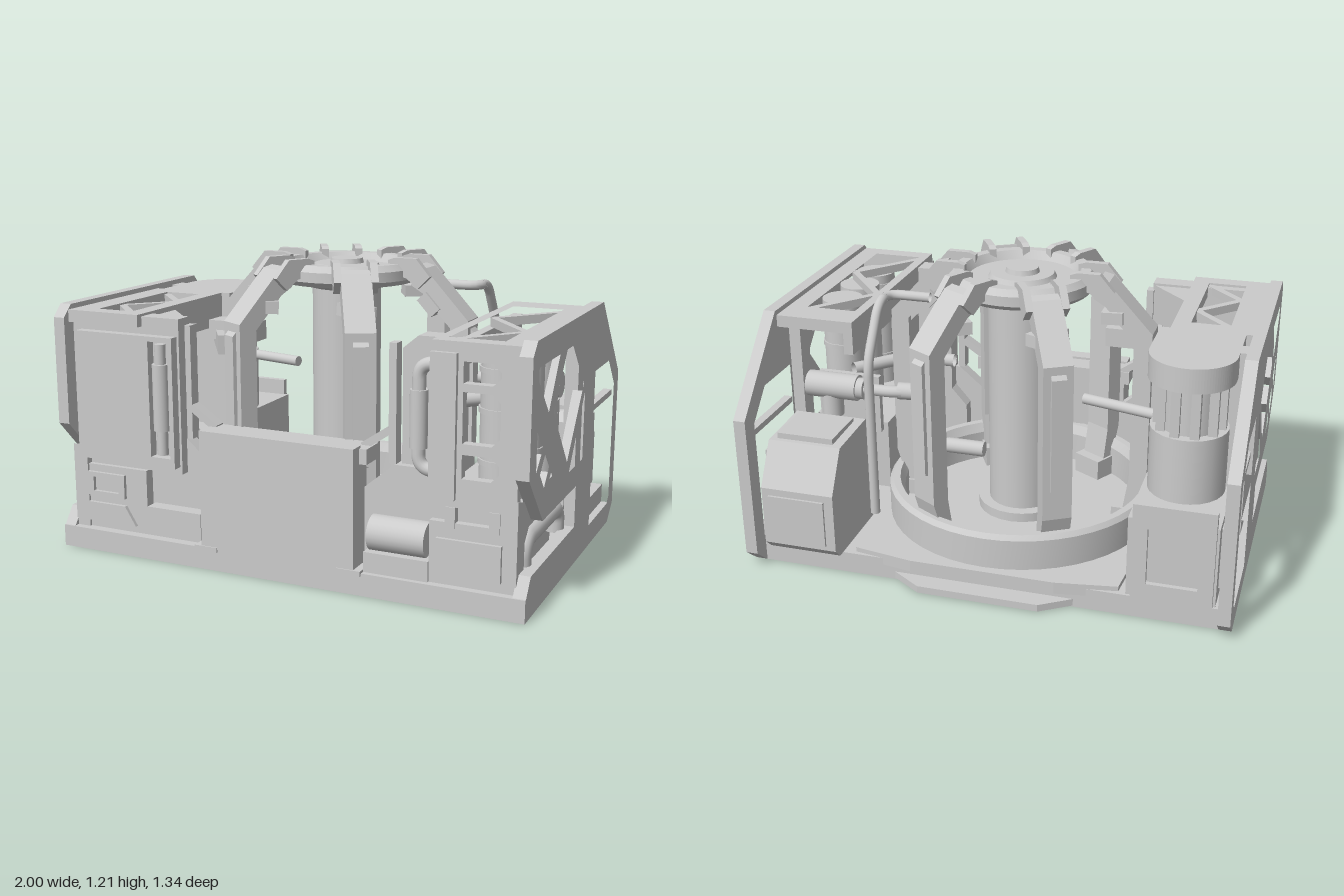
import * as THREE from 'three';
import { toCreasedNormals } from 'three/addons/utils/BufferGeometryUtils.js';

const grey = new THREE.MeshStandardMaterial({ color: 0xcccccc });
const thin = new THREE.MeshStandardMaterial({ color: 0xcccccc, side: THREE.DoubleSide });
const V = (p) => new THREE.Vector3(...p);

export function createModel() {
  const model = new THREE.Group();
  let target = model;
  const add = (name, geo, mat = grey) => {
    const m = new THREE.Mesh(geo, mat);
    m.name = name;
    target.add(m);
    return m;
  };
  const section = (name, build) => {
    target = new THREE.Group();
    target.name = name;
    model.add(target);
    build(target);
    target = model;
  };
  // box given by its ranges
  const box = (name, x0, x1, y0, y1, z0, z1) => add(name,
    new THREE.BoxGeometry(Math.abs(x1 - x0), y1 - y0, z1 - z0)
      .translate((x0 + x1) / 2, (y0 + y1) / 2, (z0 + z1) / 2));
  const outline = (pts, holes = []) => {
    const s = new THREE.Shape(pts.map((p) => new THREE.Vector2(...p)));
    s.holes = holes.map((h) => new THREE.Path(h.map((p) => new THREE.Vector2(...p))));
    return s;
  };
  const extrude = (shape, depth) => new THREE.ExtrudeGeometry(shape, { depth, bevelEnabled: false, curveSegments: 24 });
  const flip = (pts) => pts.map(([a, b]) => [-a, b]);
  const flop = (pts) => pts.map(([a, b]) => [a, -b]);
  // plates lying in the side (z, y), front (x, y) and top (x, z) planes
  const sidePlate = (name, pts, xa, xb, holes = []) => add(name,
    extrude(outline(flip(pts), holes.map(flip)), Math.abs(xb - xa)).rotateY(Math.PI / 2).translate(Math.min(xa, xb), 0, 0));
  const frontPlate = (name, pts, z0, z1, holes = []) => add(name, extrude(outline(pts, holes), z1 - z0).translate(0, 0, z0));
  const topPlate = (name, pts, y0, y1, holes = []) => add(name,
    extrude(outline(flop(pts), holes.map(flop)), y1 - y0).rotateX(-Math.PI / 2).translate(0, y0, 0));
  const rect = (a0, a1, b0, b1) => [[a0, b0], [a1, b0], [a1, b1], [a0, b1]];
  // straight square bar or round rod between two points
  const bar = (name, a, b, w, h) => {
    const m = add(name, new THREE.BoxGeometry(w, h, V(a).distanceTo(V(b))));
    m.position.copy(V(a).add(V(b)).multiplyScalar(0.5));
    m.lookAt(V(b));
  };
  const rod = (name, a, b, r) => {
    const m = add(name, new THREE.CylinderGeometry(r, r, V(a).distanceTo(V(b)), 24));
    m.position.copy(V(a).add(V(b)).multiplyScalar(0.5));
    m.quaternion.setFromUnitVectors(V([0, 1, 0]), V(b).sub(V(a)).normalize());
  };
  // pipe with rounded bends
  const pipe = (name, points, r, bend = 0.06) => {
    const p = points.map(V), path = new THREE.CurvePath();
    let from = p[0];
    for (let i = 1; i < p.length - 1; i++) {
      const before = p[i].clone().add(p[i - 1].clone().sub(p[i]).setLength(bend));
      const after = p[i].clone().add(p[i + 1].clone().sub(p[i]).setLength(bend));
      path.add(new THREE.LineCurve3(from, before));
      path.add(new THREE.QuadraticBezierCurve3(before, p[i], after));
      from = after;
    }
    path.add(new THREE.LineCurve3(from, p[p.length - 1]));
    add(name, new THREE.TubeGeometry(path, 60, r, 14), thin);
  };
  const lathe = (name, pts) => add(name,
    toCreasedNormals(new THREE.LatheGeometry(pts.map((p) => new THREE.Vector2(...p)), 48), 0.4), thin);

  // base slab with rear step and round basin
  section('base', () => {
    box('baseSlab', -1, 1, 0, 0.09, -0.59, 0.66);
    topPlate('rearStep', [[-0.42, -0.56], [-0.25, -0.67], [0.25, -0.67], [0.42, -0.56]], 0.005, 0.035);
    topPlate('basinLedge', [[-0.55, -0.57], [-0.3, -0.61], [0.3, -0.61], [0.55, -0.57], [0.6, 0], [-0.6, 0]], 0.06, 0.11);
    lathe('basinRing', [[0.51, 0.09], [0.51, 0.22], [0.53, 0.26], [0.56, 0.26], [0.575, 0.24], [0.575, 0.09]]);
  });

  // central column and its hub
  section('column', () => {
    rod('columnShaft', [0, 0.09, 0], [0, 1.12, 0], 0.143);
    rod('columnFoot', [0, 0.09, 0], [0, 0.15, 0], 0.19);
    lathe('hub', [[0.14, 1.07], [0.22, 1.09], [0.28, 1.1], [0.3, 1.12], [0.3, 1.16], [0.28, 1.185],
      [0.24, 1.185], [0.22, 1.15], [0.14, 1.15], [0.13, 1.17], [0.07, 1.17], [0.065, 1.19], [0, 1.19]]);
  });

  // six bent arms around the column, forked at the hub
  const leg = [[0.33, 1.18], [0.37, 1.17], [0.555, 0.97], [0.555, 0.32], [0.5, 0.13], [0.45, 0.13], [0.48, 0.32],
    [0.48, 0.94], [0.36, 1.07], [0.31, 1.1]];
  const rib = [[0.36, 1.14], [0.57, 0.92], [0.57, 0.45], [0.5, 0.42], [0.5, 0.9], [0.36, 1.04]];
  const prong = [[0.22, 1.15], [0.22, 1.2], [0.25, 1.21], [0.34, 1.21], [0.4, 1.14], [0.35, 1.09], [0.3, 1.13]];
  for (let i = 0; i < 6; i++) {
    section('arm', (g) => {
      g.rotation.y = (i * Math.PI) / 3;
      add('armLeg', extrude(outline(leg), 0.12).translate(0, 0, -0.06));
      add('armRib', extrude(outline(rib), 0.06).translate(0, 0, -0.03));
      for (const s of [-1, 1]) add('armProng', extrude(outline(prong), 0.03).translate(0, 0, s * 0.072 - 0.015));
      box('armFoot', 0.41, 0.52, 0.09, 0.18, -0.07, 0.07);
      bar('armClamp', [0.36, 1.06, 0], [0.42, 0.995, 0], 0.15, 0.05);
    });
  }

  // gate at the front with sloping wings
  section('gate', () => {
    box('gatePanel', -0.33, 0.33, 0.09, 0.57, 0.6, 0.665);
    box('gateRail', -0.36, 0.36, 0.5, 0.56, 0.5, 0.61);
    box('gateInnerPanel', -0.33, 0.33, 0.09, 0.52, 0.54, 0.6);
    for (const s of [-1, 1]) {
      frontPlate('gateWing', [[0.32, 0.09], [0.62, 0.09], [0.62, 0.5], [0.45, 0.5], [0.32, 0.39]].map(([x, y]) => [s * x, y]), 0.5, 0.56);
      box('gateHinge', s * 0.26, s * 0.36, 0.08, 0.1, 0.58, 0.67);
      bar('cageSlope', [s * 0.32, 0.555, 0.53], [s * 0.43, 0.63, 0.53], 0.05, 0.03);
      bar('cagePost', [s * 0.44, 0.5, 0.53], [s * 0.44, 0.96, 0.53], 0.03, 0.05);
    }
  });

  // shared side walls, lower lockers and roof trusses
  const wall = [[0.66, 0], [0.66, 0.08], [0.6, 0.16], [0, 0.16], [0, 0.33], [0.47, 0.33], [0.66, 0.53], [0.66, 0.97],
    [0.61, 1.02], [-0.34, 1.02], [-0.67, 0.67], [-0.67, 0.07], [-0.59, 0]];
  const trussHoles = [
    [[0.58, 0.92], [0.31, 0.92], [0.44, 0.73], [0.58, 0.87]],
    [[0.21, 0.92], [0.13, 0.92], [-0.06, 0.735], [0.155, 0.47], [0.375, 0.715]],
    [[-0.085, 0.7], [-0.085, 0.42], [0.12, 0.42]],
    [[0.58, 0.69], [0.5, 0.61], [0.58, 0.54]],
    [[0.47, 0.58], [0.41, 0.52], [0.47, 0.455], [0.53, 0.52]],
    [[0.38, 0.49], [0.31, 0.42], [0.45, 0.42]]];
  const rearHole = [[-0.245, 0.75], [-0.48, 0.75], [-0.595, 0.63], [-0.595, 0.12], [-0.55, 0.075], [-0.245, 0.075]];
  for (const s of [-1, 1]) {
    section(s > 0 ? 'leftSide' : 'rightSide', () => {
      sidePlate('sideWall', wall, s * 0.95, s, [...trussHoles, rearHole]);
      box('rearCrossbar', s * 0.955, s * 0.99, 0.575, 0.6, -0.6, -0.24);
      box('locker', s * 0.62, s * 0.9, 0.09, 0.41, 0, 0.6);
      // roof truss
      const zBack = s > 0 ? -0.33 : -0.03;
      const zIn = s > 0 ? -0.2 : 0.05;
      const [xIn, xOut] = s > 0 ? [0.66, 0.87] : [0.69, 0.85];
      topPlate('roofFrame', rect(s * 0.62, s * 0.955, zBack, 0.63), 0.95, 1, [rect(s * xIn, s * xOut, zIn, 0.56)]);
      const step = (0.56 - zIn) / 3;
      for (let i = 0; i < 3; i++) {
        const [xa, xb] = i % 2 ? [xIn, xOut] : [xOut, xIn];
        bar('roofBrace', [s * xa, 0.975, zIn + i * step], [s * xb, 0.975, zIn + (i + 1) * step], 0.03, 0.035);
      }
      box('innerRail', s * 0.62, s * 0.66, 0.86, 0.95, zBack, 0.6);
      box('innerPost', s * 0.62, s * 0.7, 0.4, 0.95, 0.52, 0.6);
      box('rearPost', s * 0.9, s * 0.955, 0.09, 1, -0.23, -0.15);
    });
  }

  // left front corner: pipe recess, windowed cover, tanks and service column
  section('leftFront', () => {
    sidePlate('recessFrame', [[0.63, 0.09], [0.63, 0.44], [0.55, 0.42], [0, 0.42], [0, 0.09]], 0.89, 0.955,
      [[[0.54, 0.16], [0.54, 0.26], [0.49, 0.31], [0.01, 0.31], [0.01, 0.16]]]);
    pipe('sidePipe', [[0.93, 0.15, 0.49], [0.93, 0.25, 0.49], [0.93, 0.25, 0.04], [0.93, 0.15, 0.04]], 0.038);
    frontPlate('windowCover', [[0.62, 0.39], [0.95, 0.39], [0.95, 1], [0.62, 1]], 0.59, 0.63,
      [[0.5, 0.59], [0.63, 0.82], [0.85, 0.93]].map(([a, b]) => [[0.74, a], [0.85, a], [0.88, a + 0.03], [0.88, b - 0.03], [0.85, b], [0.74, b]]));
    box('coverStrip', 0.62, 0.72, 0.42, 0.96, 0.62, 0.65);
    box('lowerBox', 0.62, 0.93, 0.09, 0.33, 0.58, 0.63);
    box('lowerBoxPanel', 0.65, 0.9, 0.13, 0.27, 0.62, 0.645);
    for (const x of [0.68, 0.85]) box('coverLatch', x, x + 0.04, 0.31, 0.39, 0.59, 0.635);
    for (const z of [0.49, 0.3, 0.105]) {
      rod('tank', [0.85, 0.4, z], [0.85, 0.94, z], 0.088);
      for (const y of [0.54, 0.73, 0.88]) rod('tankBand', [0.85, y, z], [0.85, y + 0.02, z], 0.094);
    }
    frontPlate('serviceColumn', [[0.4, 0.09], [0.62, 0.09], [0.62, 0.99], [0.53, 0.99], [0.47, 0.94], [0.47, 0.41], [0.4, 0.33]], 0.44, 0.53);
    pipe('serviceLoop', [[0.62, 0.9, 0.57], [0.55, 0.9, 0.57], [0.55, 0.5, 0.57], [0.62, 0.5, 0.57]], 0.026);
    rod('serviceSleeve', [0.55, 0.58, 0.57], [0.55, 0.8, 0.57], 0.034);
    rod('drum', [0.37, 0.23, 0.57], [0.6, 0.23, 0.57], 0.07);
    box('drumCradle', 0.36, 0.62, 0.09, 0.17, 0.5, 0.64);
  });

  // right front corner: closed cover with handle, plain lower wall
  section('rightFront', () => {
    sidePlate('lowerWall', [[0.63, 0.09], [0.63, 0.44], [0.55, 0.42], [0, 0.42], [0, 0.09]], -0.955, -0.89);
    box('coverBack', -0.95, -0.45, 0.36, 0.99, 0.52, 0.6);
    topPlate('coverShoulder', [[-0.62, 0.35], [-0.45, 0.53], [-0.62, 0.53]], 0.4, 0.98);
    frontPlate('cover', rect(-0.91, -0.46, 0.39, 0.92), 0.6, 0.64, [rect(-0.57, -0.48, 0.43, 0.9)]);
    rod('handle', [-0.525, 0.44, 0.62], [-0.525, 0.89, 0.62], 0.022);
    rod('handleGrip', [-0.525, 0.54, 0.62], [-0.525, 0.81, 0.62], 0.034);
    box('lowerBox', -0.94, -0.61, 0.09, 0.36, 0.58, 0.62);
    frontPlate('lowerFrame', rect(-0.89, -0.71, 0.23, 0.33), 0.62, 0.635, [rect(-0.86, -0.74, 0.25, 0.31)]);
    frontPlate('lowerHatch', [[-0.89, 0.12], [-0.66, 0.12], [-0.71, 0.2], [-0.89, 0.2]], 0.62, 0.635);
    box('stepBox', -0.61, -0.36, 0.09, 0.21, 0.5, 0.62);
  });

  // left rear cabinet, pump and pipes
  section('leftRear', () => {
    sidePlate('cabinet', [[-0.25, 0.09], [-0.62, 0.09], [-0.66, 0.13], [-0.66, 0.38], [-0.56, 0.55], [-0.29, 0.56], [-0.25, 0.52]], 0.6, 0.91);
    sidePlate('cabinetFrame', rect(-0.56, -0.29, 0.18, 0.5), 0.9, 0.93, [rect(-0.46, -0.33, 0.22, 0.42)]);
    box('cabinetSill', 0.9, 0.97, 0.08, 0.17, -0.59, -0.25);
    box('cabinetDoor', 0.64, 0.88, 0.15, 0.35, -0.67, -0.65);
    box('cabinetLid', 0.64, 0.88, 0.55, 0.575, -0.54, -0.32);
    box('divider', 0.62, 0.9, 0.4, 0.66, -0.08, -0.05);
    rod('pump', [0.64, 0.68, -0.25], [0.86, 0.68, -0.25], 0.055);
    rod('pumpCollar', [0.61, 0.68, -0.25], [0.65, 0.68, -0.25], 0.045);
    rod('pumpBase', [0.76, 0.55, -0.25], [0.76, 0.68, -0.25], 0.045);
    pipe('pumpPipe', [[0.62, 0.68, -0.25], [0.5, 0.68, -0.25], [0.36, 0.68, -0.22]], 0.025, 0.03);
    rod('pumpNozzle', [0.38, 0.68, -0.22], [0.47, 0.68, -0.23], 0.036);
    pipe('tallPipe', [[0.52, 0.2, -0.42], [0.52, 0.87, -0.42], [0.52, 1.08, -0.28], [0.52, 1.08, -0.17], [0.34, 1.08, -0.17]], 0.02);
    pipe('sideFeed', [[0.36, 0.67, 0.17], [0.55, 0.67, 0.17], [0.64, 0.67, 0.08], [0.75, 0.67, -0.04]], 0.028, 0.03);
    rod('lowFeed', [0.26, 0.2, 0.27], [0.62, 0.2, 0.27], 0.035);
  });

  // right rear tower with rounded cap
  section('rightRear', () => {
    const cap = new THREE.Shape();
    cap.moveTo(-0.92, 0.03).lineTo(-0.58, 0.03).lineTo(-0.58, 0.27);
    cap.absarc(-0.75, 0.27, 0.17, 0, Math.PI, false);
    add('towerCap', extrude(cap, 0.1).rotateX(-Math.PI / 2).translate(0, 0.9, 0));
    rod('towerCore', [-0.75, 0.3, -0.27], [-0.75, 0.91, -0.27], 0.115);
    for (let i = 0; i < 10; i++) {
      const a = (i / 10) * Math.PI * 2;
      const x = -0.75 + Math.cos(a) * 0.125, z = -0.27 + Math.sin(a) * 0.125;
      box('towerFin', x - 0.018, x + 0.018, 0.68, 0.91, z - 0.018, z + 0.018);
    }
    rod('towerBody', [-0.75, 0.3, -0.27], [-0.75, 0.7, -0.27], 0.155);
    box('towerSpine', -0.92, -0.6, 0.09, 0.9, -0.1, -0.03);
    box('towerPlinth', -0.93, -0.58, 0.09, 0.43, -0.58, -0.05);
    frontPlate('plinthFrame', rect(-0.92, -0.6, 0.09, 0.5), -0.6, -0.57, [rect(-0.86, -0.66, 0.16, 0.4)]);
    box('plinthPanel', -0.95, -0.92, 0.14, 0.4, -0.52, -0.28);
    rod('towerFeed', [-0.62, 0.7, -0.22], [-0.3, 0.7, -0.14], 0.022);
    box('feedBlock', -0.55, -0.33, 0.84, 0.92, 0.1, 0.2);
    bar('braceBeam', [-0.6, 0.84, 0.03], [-0.42, 0.84, 0.3], 0.05, 0.08);
  });

  return model;
}
